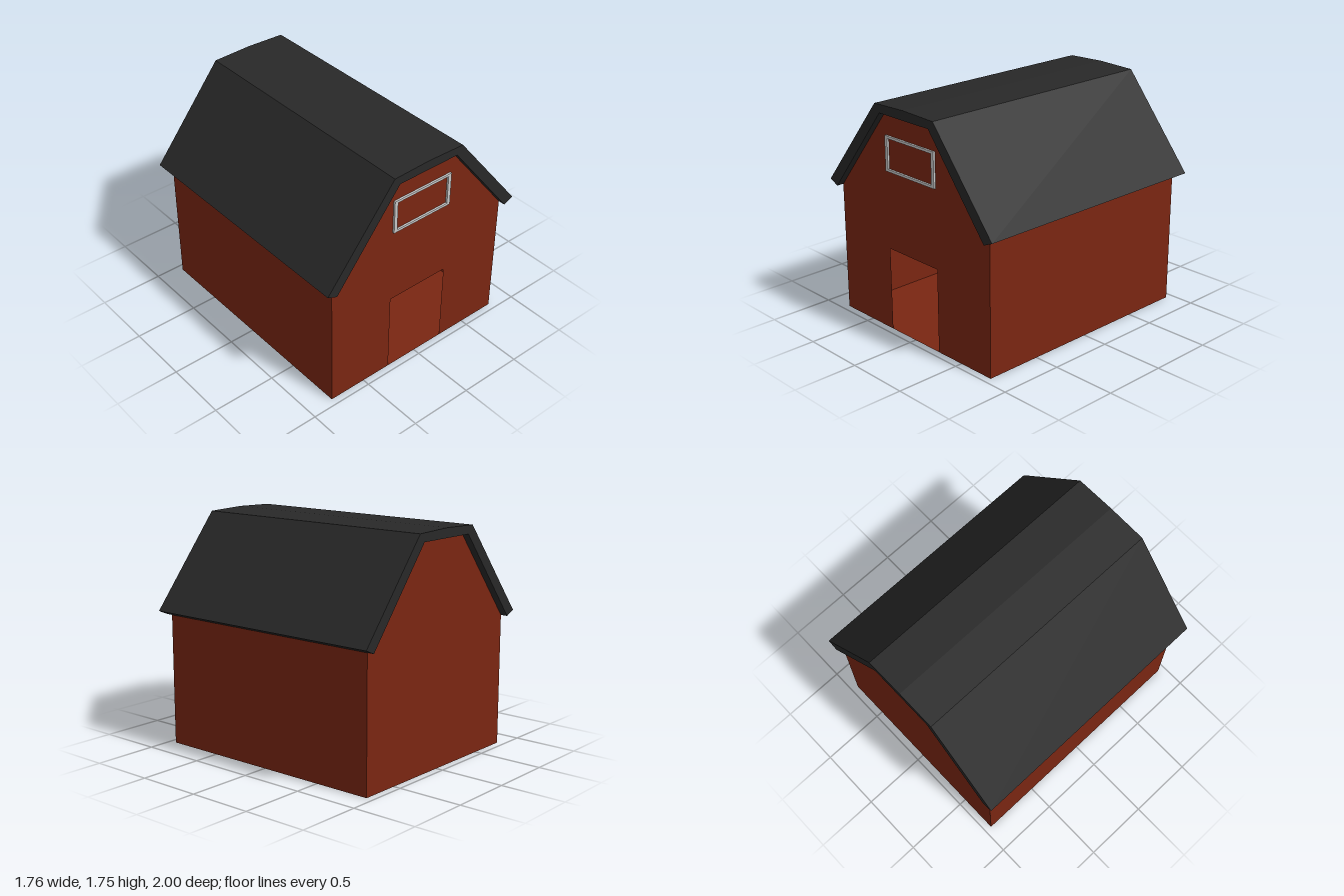
import * as THREE from 'three';

export function createModel() {
  const barn = new THREE.Group();
  barn.name = 'barn';

  const red = new THREE.MeshStandardMaterial({ color: 0x7a2612, side: THREE.DoubleSide });
  red.name = 'barn red';
  const black = new THREE.MeshStandardMaterial({ color: 0x282828 });
  black.name = 'roof black';
  const grey = new THREE.MeshStandardMaterial({ color: 0xc8c8c8 });
  grey.name = 'trim grey';

  const W = 0.8, D = 0.945, EAVE = 1.005, TOP = 1.68, TOP_X = 0.26;
  const DOOR_X = 0.26, DOOR_H = 0.645;

  const shapeOf = (pts) => new THREE.Shape(pts.map(([x, y]) => new THREE.Vector2(x, y)));
  const add = (name, geometry, material, x = 0, y = 0, z = 0) => {
    const mesh = new THREE.Mesh(geometry, material);
    mesh.name = name;
    mesh.position.set(x, y, z);
    barn.add(mesh);
    return mesh;
  };

  // Gable walls: the front one is notched by the open doorway
  const gable = [[W, 0], [W, EAVE], [TOP_X, TOP], [-TOP_X, TOP], [-W, EAVE], [-W, 0]];
  const doorway = [[-DOOR_X, 0], [-DOOR_X, DOOR_H], [DOOR_X, DOOR_H], [DOOR_X, 0]];
  add('frontWall', new THREE.ShapeGeometry(shapeOf([...gable, ...doorway])), red, 0, 0, D);
  add('backWall', new THREE.ShapeGeometry(shapeOf(gable)), red, 0, 0, -D).rotation.y = Math.PI;

  // Thin side walls and floor leave the inside hollow
  for (const [name, s] of [['leftWall', 1], ['rightWall', -1]]) {
    const wall = add(name, new THREE.PlaneGeometry(2 * D, EAVE), red, s * W, EAVE / 2, 0);
    wall.rotation.y = s * Math.PI / 2;
  }
  add('floor', new THREE.PlaneGeometry(2 * W, 2 * D), red).rotation.x = -Math.PI / 2;

  // Thick gambrel roof, overhanging the walls all round
  const roof = shapeOf([
    [0.88, 1.04], [0.31, 1.742], [0, 1.752], [-0.31, 1.742], [-0.88, 1.04],
    [-W, EAVE], [-TOP_X, TOP], [TOP_X, TOP], [W, EAVE],
  ]);
  add('roof', new THREE.ExtrudeGeometry(roof, { depth: 2, bevelEnabled: false }), black, 0, 0, -1);

  // Loft window frame, standing slightly proud of the front wall
  const rect = (w, h) => [[-w, -h], [w, -h], [w, h], [-w, h]];
  const frame = shapeOf(rect(0.262, 0.133));
  frame.holes.push(shapeOf(rect(0.234, 0.114)));
  add('loftWindowFrame', new THREE.ExtrudeGeometry(frame, { depth: 0.015, bevelEnabled: false }),
    grey, 0, 1.378, D);

  return barn;
}
